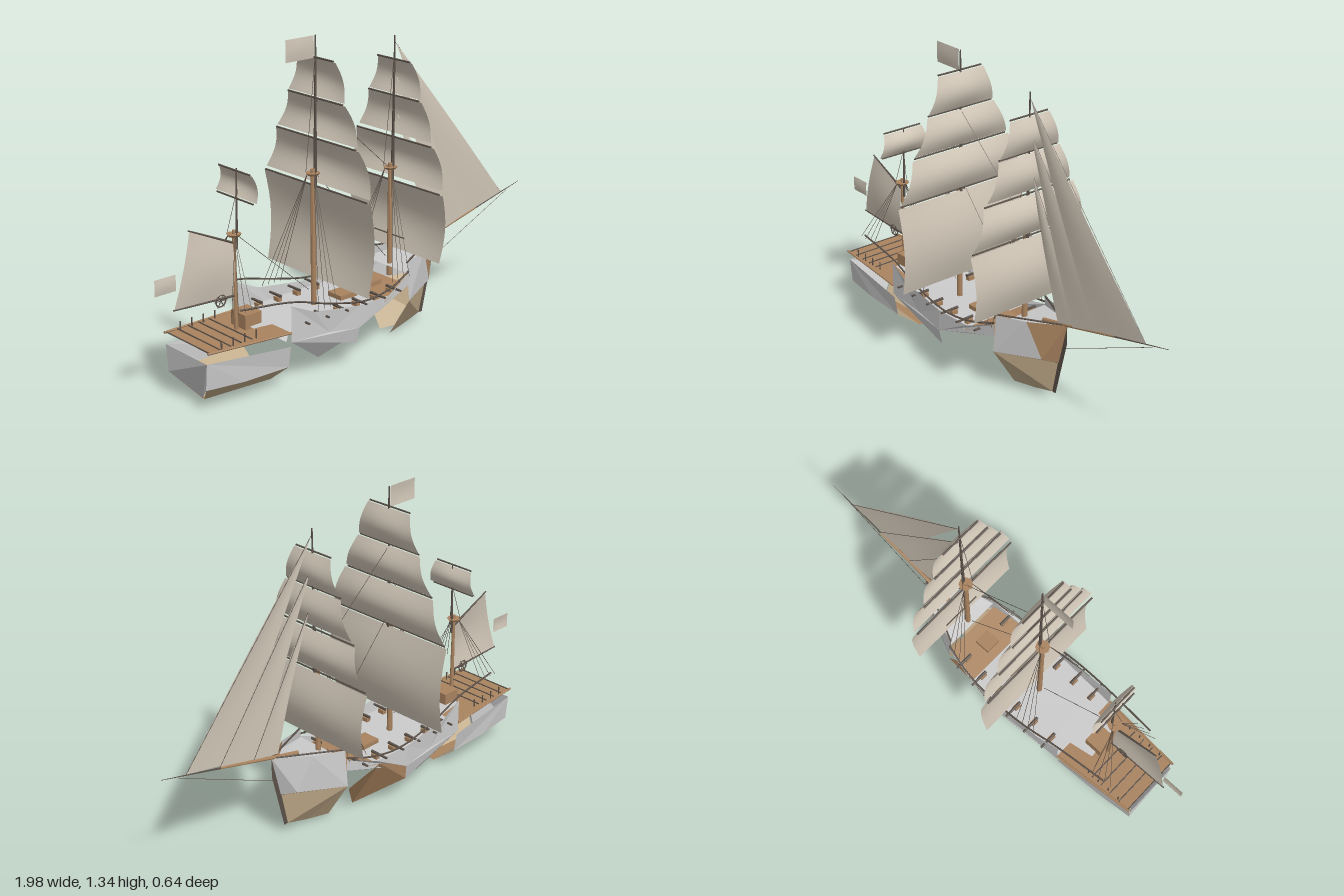
import * as THREE from 'three';

const mat = (color, flat = true) => new THREE.MeshStandardMaterial({ color, flatShading: flat, side: THREE.DoubleSide });
const GREY = mat(0xcccccc), WOOD = mat(0xa9835f), TAN = mat(0xc2ac8b), DARK = mat(0x5a5048);
const SAIL = mat(0xcfc5b6, false);
const V = (p) => new THREE.Vector3(...p);

export function createModel() {
  const ship = new THREE.Group();
  ship.name = 'sailingShip';
  const add = (name, geo, m, pos = [0, 0, 0]) => {
    const mesh = new THREE.Mesh(geo, m);
    mesh.name = name;
    mesh.position.set(...pos);
    ship.add(mesh);
    return mesh;
  };
  const box = (name, size, pos, m = WOOD) => add(name, new THREE.BoxGeometry(...size), m, pos);

  // Round bar between two points
  const bar = (name, a, b, r0, r1 = r0, m = DARK, sides = 6) => {
    const A = V(a), B = V(b), d = B.clone().sub(A);
    const mesh = add(name, new THREE.CylinderGeometry(r1, r0, d.length(), sides), m);
    mesh.position.copy(A).add(B).multiplyScalar(0.5);
    mesh.quaternion.setFromUnitVectors(new THREE.Vector3(0, 1, 0), d.normalize());
    return mesh;
  };
  const rope = (a, b) => bar('rope', a, b, 0.0012, 0.0012, DARK, 3);

  // Flat-faceted plate: fan of triangles around its first corner
  const plate = (name, pts, m) => {
    const pos = [];
    for (let i = 1; i < pts.length - 1; i++) pos.push(...pts[0], ...pts[i], ...pts[i + 1]);
    const g = new THREE.BufferGeometry();
    g.setAttribute('position', new THREE.Float32BufferAttribute(pos, 3));
    g.computeVertexNormals();
    return add(name, g, m);
  };
  const bothSides = (name, pts, m) => [1, -1].forEach((s) => plate(name, pts.map(([x, y, z]) => [x, y, z * s]), m));

  // Four-cornered cloth with a belly pushed along one axis
  const cloth = (name, corners, axis, belly) => {
    const [a, b, c, d] = corners.map(V);
    const g = new THREE.PlaneGeometry(1, 1, 8, 8), p = g.attributes.position;
    for (let i = 0; i < p.count; i++) {
      const u = p.getX(i) + 0.5, v = 0.5 - p.getY(i);
      const q = a.clone().lerp(b, u).lerp(d.clone().lerp(c, u), v);
      q[axis] += belly * Math.sin(Math.PI * v) * (0.6 + 0.4 * Math.sin(Math.PI * u));
      p.setXYZ(i, q.x, q.y, q.z);
    }
    g.computeVertexNormals();
    return add(name, g, SAIL);
  };

  // Stern block
  bothSides('sternUpperPlanking', [[-0.87, 0.22, 0.13], [-0.49, 0.19, 0.16], [-0.49, 0.1, 0.145], [-0.7, 0.1, 0.135], [-0.87, 0.11, 0.12]], GREY);
  bothSides('sternLowerPlanking', [[-0.87, 0.11, 0.12], [-0.49, 0.1, 0.145], [-0.49, 0.01, 0.03], [-0.8, 0.015, 0.01]], TAN);
  plate('transom', [[-0.87, 0.22, 0.13], [-0.87, 0.22, -0.13], [-0.87, 0.11, -0.12], [-0.8, 0.015, 0], [-0.87, 0.11, 0.12]], GREY);
  plate('sternBottom', [[-0.8, 0.015, 0.01], [-0.49, 0.01, 0.03], [-0.49, 0.01, -0.03], [-0.8, 0.015, -0.01]], WOOD);

  // Midship planking
  bothSides('midUpperPlanking', [[-0.3, 0.2, 0.17], [-0.49, 0.21, 0.165], [-0.49, 0.36, 0.165], [-0.38, 0.31, 0.175], [-0.15, 0.275, 0.18], [-0.15, 0.18, 0.18]], GREY);
  bothSides('midWaistPlanking', [[-0.15, 0.18, 0.18], [-0.15, 0.275, 0.18], [0.02, 0.27, 0.17], [0.16, 0.32, 0.14], [0.16, 0.27, 0.14], [0, 0.23, 0.17]], GREY);
  bothSides('midLowerPlanking', [[-0.49, 0.21, 0.165], [-0.3, 0.2, 0.17], [-0.15, 0.18, 0.18], [-0.15, 0.11, 0.165], [-0.22, 0.13, 0.155], [-0.3, 0.07, 0.1]], GREY);
  plate('waistSidePlanking', [[0, 0.25, -0.17], [-0.15, 0.19, -0.18], [-0.15, 0.12, -0.175], [0.02, 0.01, -0.03], [0.16, 0.19, -0.15]], WOOD);

  // Bow block
  bothSides('bowUpperPlanking', [[0.16, 0.2, 0.145], [0.16, 0.36, 0.13], [0.3, 0.375, 0.09], [0.36, 0.22, 0.06]], GREY);
  bothSides('bowLowerPlanking', [[0.16, 0.2, 0.145], [0.36, 0.22, 0.06], [0.395, 0.2, 0.004], [0.36, 0.05, 0], [0.26, 0.025, 0.005], [0.16, 0.02, 0.03]], TAN);
  plate('bowCheekLeft', [[0.36, 0.22, 0.06], [0.3, 0.375, 0.09], [0.44, 0.385, 0], [0.395, 0.2, 0]], WOOD);
  plate('bowCheekRight', [[0.36, 0.22, -0.06], [0.3, 0.375, -0.09], [0.44, 0.385, 0], [0.395, 0.2, 0]], GREY);
  plate('stem', [[0.44, 0.39, 0], [0.44, 0.3, 0], [0.38, 0.05, 0], [0.36, 0.05, 0], [0.38, 0.24, 0]], DARK);

  // Decks
  plate('quarterDeck', [[-0.86, 0.262, 0.135], [-0.49, 0.25, 0.16], [-0.49, 0.25, -0.16], [-0.86, 0.262, -0.135]], WOOD);
  plate('cabinRoof', [[-0.6, 0.27, 0.07], [-0.43, 0.27, 0.1], [-0.43, 0.27, -0.1], [-0.6, 0.27, -0.07]], GREY);
  plate('mainDeck', [[-0.49, 0.25, 0.16], [-0.15, 0.245, 0.175], [0, 0.245, 0.165], [0, 0.245, -0.165], [-0.15, 0.245, -0.175], [-0.49, 0.25, -0.16]], GREY);
  plate('waistDeck', [[0, 0.245, 0.165], [0.16, 0.27, 0.135], [0.16, 0.27, -0.135], [0, 0.245, -0.165]], WOOD);
  plate('foreDeck', [[0.16, 0.32, 0.13], [0.3, 0.34, 0.09], [0.42, 0.36, 0], [0.3, 0.34, -0.09], [0.16, 0.32, -0.13]], GREY);
  box('hatch', [0.09, 0.02, 0.08], [-0.08, 0.255, 0]);
  box('hatch', [0.07, 0.02, 0.07], [0.07, 0.27, 0]);
  box('cabin', [0.08, 0.06, 0.09], [-0.58, 0.29, 0]);

  // Rails, posts and guns on both sides
  for (const s of [1, -1]) {
    const rail = [[-0.72, 0.4, 0.145], [-0.48, 0.375, 0.165], [-0.3, 0.325, 0.18], [-0.1, 0.285, 0.178], [0.05, 0.3, 0.165], [0.16, 0.33, 0.14]];
    const curve = new THREE.CatmullRomCurve3(rail.map(([x, y, z]) => V([x, y, z * s])));
    add('rail', new THREE.TubeGeometry(curve, 24, 0.004, 5), DARK);
    bar('bowRail', [0.16, 0.365, 0.13 * s], [0.42, 0.385, 0.01 * s], 0.004);
    bar('sternRail', [-0.87, 0.265, 0.138 * s], [-0.49, 0.25, 0.165 * s], 0.005, 0.005, WOOD);
    for (let i = 0; i < 6; i++) {
      const x = -0.8 + i * 0.055;
      if (i < 4) bar('railPost', [x, 0.26, 0.13 * s], [x, 0.295, 0.13 * s], 0.003);
      const gx = -0.42 + i * 0.1, z = 0.165 - Math.max(0, gx) * 0.15;
      bar('gun', [gx, 0.275, (z - 0.06) * s], [gx, 0.275, (z + 0.025) * s], 0.007, 0.005, DARK);
      box('gunCarriage', [0.02, 0.018, 0.03], [gx, 0.26, (z - 0.04) * s]);
    }
  }
  for (let i = 0; i < 5; i++) bar('sternCrossbeam', [-0.86 + i * 0.05, 0.265, -0.135], [-0.86 + i * 0.05, 0.265, 0.135], 0.003);
  add('steeringWheel', new THREE.TorusGeometry(0.024, 0.003, 5, 14), DARK, [-0.7, 0.39, 0]);
  for (let i = 0; i < 3; i++) {
    const a = i * Math.PI / 3, c = 0.03 * Math.cos(a), d = 0.03 * Math.sin(a);
    bar('wheelSpoke', [-0.7 - c, 0.39 - d, 0], [-0.7 + c, 0.39 + d, 0], 0.002);
  }

  // Masts with platforms: x, foot, platform height, tip, lower radius
  for (const [x, foot, top, tip, r] of [[-0.63, 0.2, 0.64, 0.9, 0.009], [-0.235, 0.25, 0.8, 1.35, 0.012], [0.185, 0.27, 0.74, 1.29, 0.012]]) {
    bar('lowerMast', [x, foot, 0], [x, top + 0.02, 0], r, r * 0.75, WOOD, 8);
    bar('upperMast', [x + 0.012, top - 0.06, 0], [x + 0.02, tip, 0], r * 0.65, r * 0.25, DARK, 6);
    add('mastPlatform', new THREE.CylinderGeometry(0.03, 0.022, 0.01, 8), WOOD, [x, top, 0]);
    const z = x < -0.5 ? 0.14 : x < 0 ? 0.175 : 0.15, y = x < -0.5 ? 0.38 : 0.31;
    for (const s of [1, -1]) {
      for (let i = 0; i < 4; i++) rope([x - 0.01, top, 0.02 * s], [x - 0.03 - i * 0.032, y, z * s]);
      rope([x + 0.015, tip - 0.1, 0], [x - 0.01, top, 0.03 * s]);
    }
  }
  rope([-0.22, 0.8, 0], [0.16, 0.36, 0]);
  rope([-0.62, 0.64, 0], [-0.26, 0.32, 0]);
  rope([-0.22, 1.1, 0], [0.18, 0.74, 0]);

  // Square sails: mast x, then rows of top, bottom, half widths, belly
  const rows = [
    [-0.215, 1.26, 1.11, 0.115, 0.165, 0.03], [-0.215, 1.1, 0.95, 0.17, 0.238, 0.032],
    [-0.215, 0.937, 0.76, 0.247, 0.312, 0.035], [-0.22, 0.745, 0.36, 0.32, 0.308, 0.042],
    [0.205, 1.19, 1.05, 0.1, 0.15, 0.028], [0.205, 1.04, 0.885, 0.155, 0.212, 0.03],
    [0.205, 0.865, 0.7, 0.23, 0.28, 0.035], [0.2, 0.68, 0.39, 0.29, 0.275, 0.04],
    [-0.615, 0.89, 0.79, 0.1, 0.125, 0.025],
  ];
  for (const [x, t, b, wt, wb, belly] of rows) {
    cloth('squareSail', [[x, t, wt], [x, t, -wt], [x, b, -wb], [x, b, wb]], 'x', belly);
    bar('yard', [x - 0.006, t + 0.005, -wt * 0.95], [x - 0.006, t + 0.005, wt * 0.95], 0.004);
  }
  bar('lowerYard', [0.2, 0.445, -0.11], [0.2, 0.445, 0.07], 0.003);
  bar('mizzenYard', [-0.62, 0.785, -0.11], [-0.62, 0.785, 0.11], 0.004);

  // Gaff sail and spars
  cloth('gaffSail', [[-0.835, 0.7, 0], [-0.635, 0.61, 0], [-0.64, 0.4, 0], [-0.915, 0.41, 0]], 'z', 0.015);
  bar('gaff', [-0.635, 0.61, 0], [-0.84, 0.705, 0], 0.005, 0.003);
  bar('boom', [-0.635, 0.395, 0], [-0.92, 0.41, 0], 0.005, 0.003);

  // Bowsprit and headsails: head, tack, clew
  bar('bowsprit', [0.3, 0.355, 0], [0.7, 0.45, 0], 0.009, 0.005, WOOD, 8);
  bar('jibBoom', [0.68, 0.445, 0], [0.98, 0.515, 0], 0.004, 0.001);
  const jibs = [
    [[0.21, 1.26, 0], [0.865, 0.49, 0], [0.6, 0.435, 0.01]],
    [[0.21, 1.13, 0], [0.7, 0.455, 0], [0.48, 0.4, 0.01]],
    [[0.22, 0.97, 0], [0.53, 0.415, 0], [0.395, 0.385, 0.01]],
  ];
  for (const [head, tack, clew] of jibs) {
    cloth('jib', [head, head, clew, tack], 'z', 0.012);
    rope(head, tack);
  }
  rope([0.9, 0.49, 0], [0.41, 0.27, 0]);

  // Flags
  cloth('mastFlag', [[-0.365, 1.35, 0], [-0.225, 1.35, 0], [-0.225, 1.262, 0], [-0.365, 1.262, 0]], 'z', 0.004);
  cloth('sternFlag', [[-1, 0.55, 0], [-0.905, 0.55, 0], [-0.905, 0.485, 0], [-1, 0.485, 0]], 'z', 0.004);
  return ship;
}
